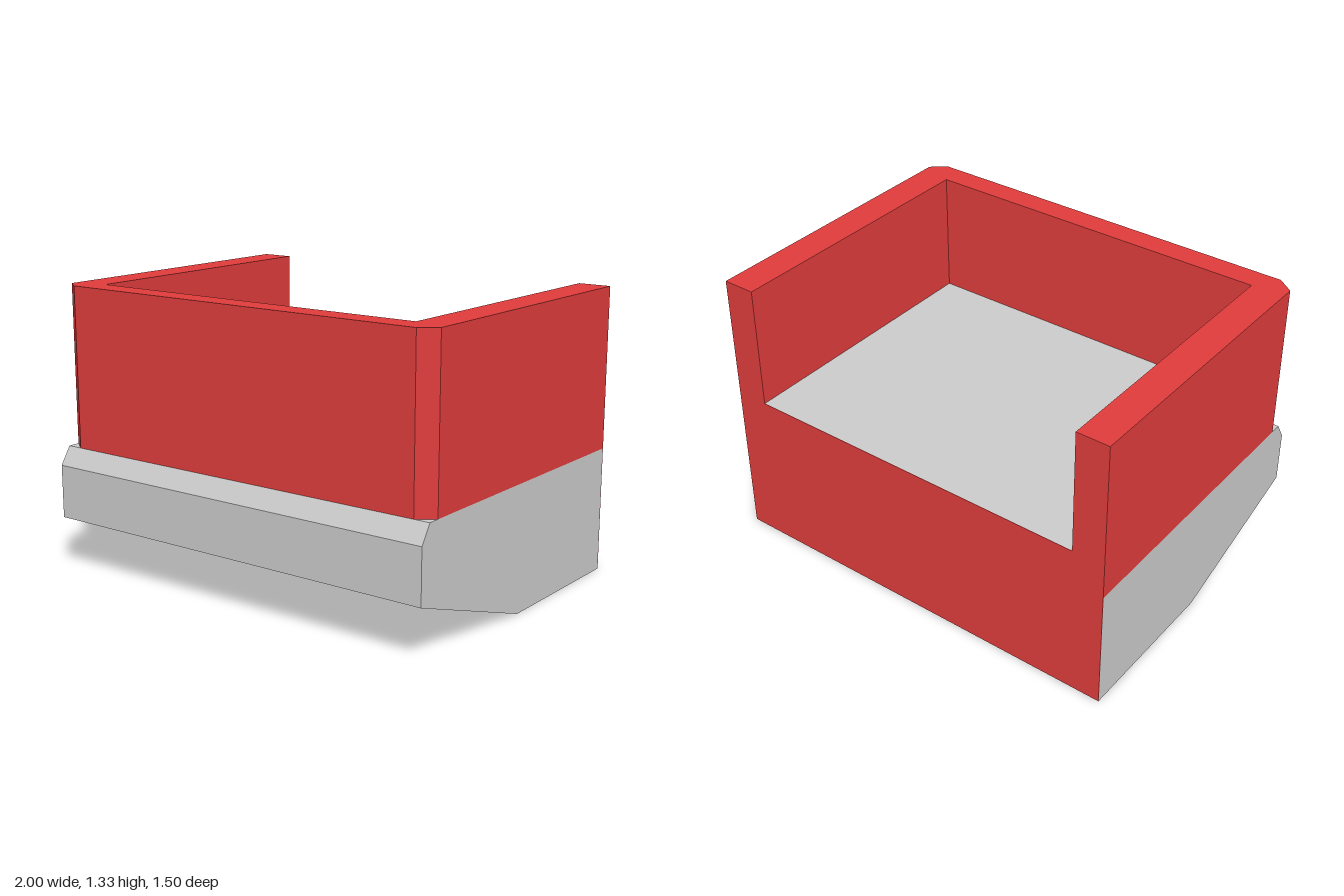
import * as THREE from 'three';

const BACK = -0.75, RIM = 0.583, FLOOR = 0.75, TOP = 1.335;
const SKIN = 0.002; // thickness of the coloured rear panel

const extrude = (points, depth) => new THREE.ExtrudeGeometry(
  new THREE.Shape(points.map(([x, y]) => new THREE.Vector2(x, y))),
  { depth, bevelEnabled: false });

export function createModel() {
  const group = new THREE.Group();
  const grey = new THREE.MeshStandardMaterial({ color: 0xcccccc, flatShading: true });
  const red = new THREE.MeshStandardMaterial({ color: 0xe03c3c, flatShading: true });
  const add = (name, geometry, material) => {
    const mesh = new THREE.Mesh(geometry, material);
    mesh.name = name;
    group.add(mesh);
  };

  // Base: side profile (z, y) swept across the width
  const base = extrude([
    [BACK + SKIN, 0], [0, 0], [0.75, 0.25], [0.75, 0.5], [0.697, RIM], [BACK + SKIN, RIM],
  ], 2);
  base.rotateY(-Math.PI / 2).translate(1, 0, 0);
  add('base', base, grey);

  // Floor raised inside the walls
  const floor = new THREE.BoxGeometry(1.69, FLOOR - RIM, 0.58 - BACK - SKIN);
  floor.translate(0, (FLOOR + RIM) / 2, (0.58 + BACK + SKIN) / 2);
  add('floor', floor, grey);

  // Walls: U-shaped plan (x, -z) with chamfered front corners, open at the back
  const half = [[0.845, -BACK], [1, -BACK], [1, -0.64], [0.925, -0.697]];
  const mirrored = half.map(([x, y]) => [-x, y]).reverse();
  const walls = extrude([[0.845, -0.58], ...half, ...mirrored, [-0.845, -0.58]], TOP - RIM);
  walls.rotateX(-Math.PI / 2).translate(0, RIM, 0);
  add('walls', walls, red);

  // Rear panel covering the back of the base and floor
  const rear = extrude([
    [-1, 0], [1, 0], [1, RIM], [0.845, RIM], [0.845, FLOOR],
    [-0.845, FLOOR], [-0.845, RIM], [-1, RIM],
  ], SKIN);
  rear.translate(0, 0, BACK);
  add('rearPanel', rear, red);

  return group;
}
